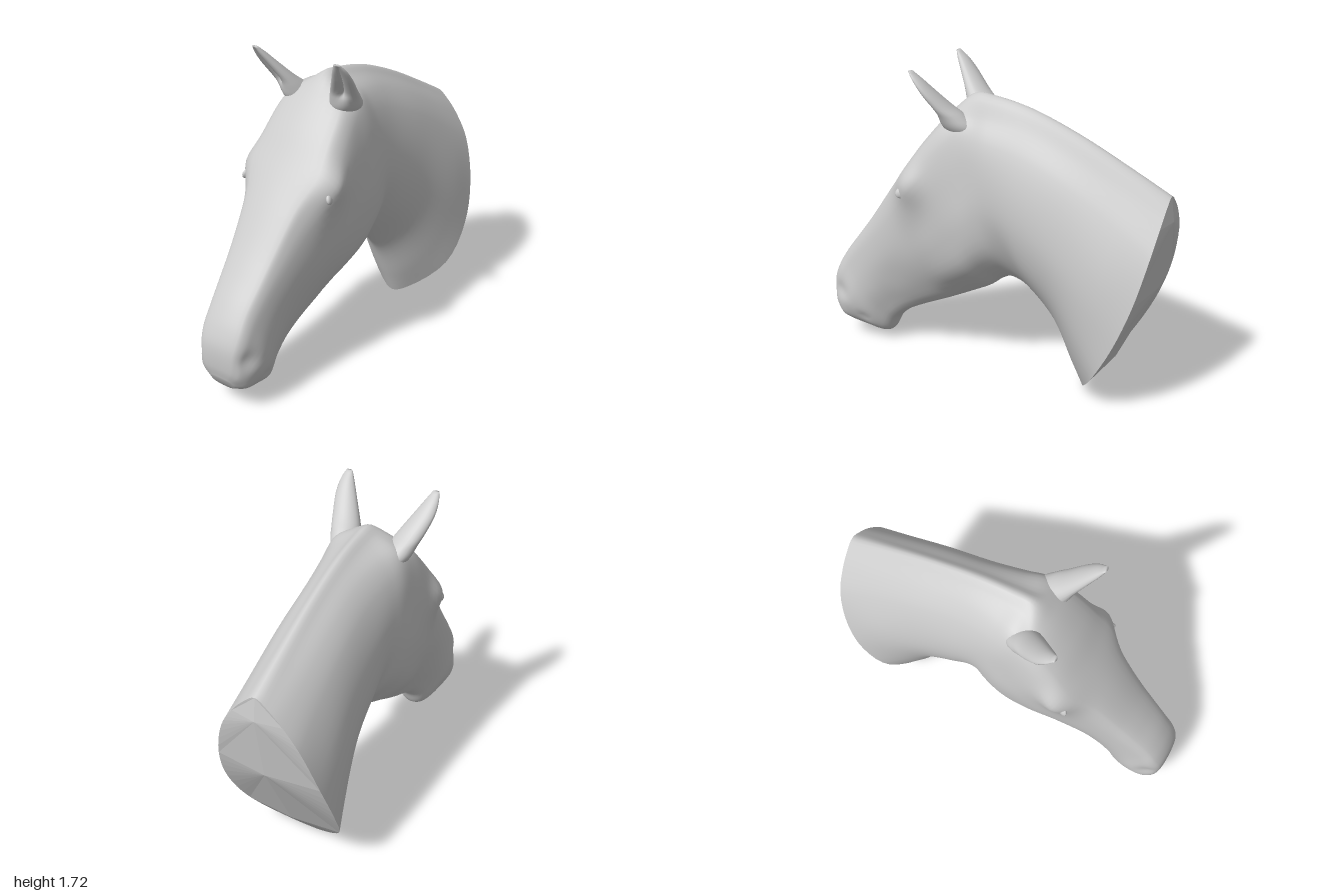
import * as THREE from 'three';

const material = new THREE.MeshStandardMaterial({ color: 0xcccccc, side: THREE.DoubleSide });
const flatMaterial = new THREE.MeshStandardMaterial({ color: 0xcccccc, side: THREE.DoubleSide, flatShading: true });

// Each row: top z, top y, bottom z, bottom y, backward bow, then half widths at the LEVELS.
const LEVELS = [0.04, 0.1, 0.2, 0.4, 0.6, 0.8, 0.96];
const NECK = [
  [-0.995, 1.17, -0.56, -0.005, 0.11, 0.075, 0.145, 0.225, 0.3, 0.325, 0.28, 0.1],
  [-0.8, 1.27, -0.5, 0.13, 0.075, 0.065, 0.135, 0.21, 0.29, 0.305, 0.25, 0.1],
  [-0.5, 1.415, -0.4, 0.34, 0.03, 0.055, 0.125, 0.195, 0.26, 0.272, 0.21, 0.08],
  [-0.22, 1.52, -0.28, 0.475, 0, 0.055, 0.125, 0.19, 0.25, 0.255, 0.195, 0.07],
  [-0.02, 1.56, -0.2, 0.535, 0, 0.06, 0.15, 0.21, 0.253, 0.25, 0.18, 0.07],
  [0.1, 1.565, -0.13, 0.56, 0, 0.075, 0.185, 0.232, 0.262, 0.268, 0.222, 0.09],
];
const HEAD = [
  [0.2, 1.485, -0.07, 0.535, 0, 0.165, 0.22, 0.25, 0.272, 0.28, 0.237, 0.09],
  [0.33, 1.34, 0, 0.48, 0, 0.195, 0.245, 0.272, 0.28, 0.275, 0.235, 0.09],
  [0.44, 1.19, 0.12, 0.415, 0, 0.195, 0.25, 0.278, 0.265, 0.255, 0.21, 0.08],
  [0.58, 1.0, 0.27, 0.34, 0, 0.155, 0.19, 0.215, 0.225, 0.21, 0.16, 0.08],
  [0.72, 0.8, 0.43, 0.265, 0, 0.13, 0.16, 0.18, 0.19, 0.17, 0.13, 0.07],
  [0.81, 0.68, 0.54, 0.205, 0, 0.12, 0.148, 0.165, 0.175, 0.16, 0.12, 0.07],
  [0.91, 0.55, 0.61, 0.14, 0, 0.11, 0.138, 0.155, 0.17, 0.16, 0.12, 0.07],
  [0.97, 0.45, 0.67, 0.04, 0, 0.11, 0.138, 0.155, 0.175, 0.16, 0.12, 0.06],
  [1.0, 0.36, 0.77, 0.05, 0, 0.1, 0.125, 0.145, 0.165, 0.155, 0.12, 0.06],
  [1.0, 0.24, 0.88, 0.075, 0, 0.08, 0.102, 0.12, 0.13, 0.13, 0.1, 0.05],
  [0.985, 0.17, 0.945, 0.105, 0, 0.04, 0.052, 0.06, 0.07, 0.07, 0.06, 0.03],
];

// Closed smooth ring for one row, starting at the top and passing the +x side first.
function sectionRing([tz, ty, bz, by, bow, ...widths], count) {
  const dz = bz - tz, dy = by - ty, len = Math.hypot(dz, dy);
  const at = (x, t) => {
    const push = (4 * t * (1 - t) * bow) / len;
    return new THREE.Vector3(x, ty + dy * t - dz * push, tz + dz * t + dy * push);
  };
  const side = LEVELS.map((t, i) => at(widths[i], t));
  const other = LEVELS.map((t, i) => at(-widths[i], t)).reverse();
  const curve = new THREE.CatmullRomCurve3([at(0, 0), ...side, at(0, 1), ...other], true);
  return Array.from({ length: count }, (_, j) => curve.getPoint(j / count));
}

// Smooth skin through rings; the far end is closed, and a rule may move each point.
function loft(rings, sub, rule = (p) => p) {
  const m = rings[0].length, rows = (rings.length - 1) * sub;
  const columns = rings[0].map((_, j) => new THREE.CatmullRomCurve3(rings.map((r) => r[j])));
  const points = [], index = [];
  for (let i = 0; i <= rows; i++) for (const c of columns) points.push(rule(c.getPoint(i / rows)));
  for (let i = 0; i < rows; i++) {
    for (let j = 0; j < m; j++) {
      const a = i * m + j, b = i * m + ((j + 1) % m);
      index.push(a, a + m, b, b, a + m, b + m);
    }
  }
  const last = points.slice(-m), tip = points.length;
  points.push(last.reduce((s, p) => s.add(p), new THREE.Vector3()).divideScalar(m));
  for (let j = 0; j < m; j++) index.push(rows * m + j, tip, rows * m + ((j + 1) % m));
  const geometry = new THREE.BufferGeometry().setFromPoints(points);
  geometry.setIndex(index);
  geometry.computeVertexNormals();
  return geometry;
}

// Soft reliefs: y, z, radius, depth (nostril, mouth corner, raised brow).
const RELIEFS = [[0.3, 0.93, 0.05, 0.1], [0.15, 0.78, 0.03, 0.08], [1.1, 0.4, 0.1, -0.13]];
function carve(p) {
  for (const [y, z, r, depth] of RELIEFS) {
    p.x *= 1 - depth * Math.exp(-((p.y - y) ** 2 + (p.z - z) ** 2) / (r * r));
  }
  return p;
}

// Faceted face of the cut neck: four broad bands, each fanned from a raised centre line to the rim.
function neckCap(ring) {
  const far = ring.length, half = far / 2, band = half / 4, pts = [];
  const spine = (j) => new THREE.Vector3(0, ring[j].y, ring[j].z - 0.035 * Math.sin((Math.PI * j) / half));
  for (let from = 0; from < half; from += band) {
    const to = from + band, c0 = spine(from), c1 = spine(to);
    for (let j = from; j < to; j++) {
      pts.push(c0, ring[j], ring[j + 1], c0, ring[far - j - 1], ring[(far - j) % far]);
    }
    pts.push(c0, ring[to], c1, c0, c1, ring[far - to]);
  }
  const geometry = new THREE.BufferGeometry().setFromPoints(pts);
  geometry.computeVertexNormals();
  return geometry;
}

// Ear rows: centre x, y, z, radius in x, radius in z, hollow of the front.
const EAR = [
  [0.12, 1.34, 0.08, 0.05, 0.06, 0],
  [0.15, 1.42, 0.12, 0.078, 0.095, 0],
  [0.175, 1.48, 0.165, 0.076, 0.085, 0.3],
  [0.2, 1.53, 0.208, 0.072, 0.066, 1],
  [0.235, 1.61, 0.27, 0.058, 0.046, 1.1],
  [0.252, 1.67, 0.315, 0.038, 0.03, 0.9],
  [0.257, 1.71, 0.345, 0.018, 0.01, 0],
];
function earGeometry(s) {
  const rings = EAR.map(([x, y, z, rx, rz, hollow]) => Array.from({ length: 24 }, (_, j) => {
    const a = (s * j * Math.PI * 2) / 24;
    const k = 1 - hollow * Math.max(0, Math.cos(a - 1.2)) ** 3;
    return new THREE.Vector3(s * (x + rx * k * Math.cos(a)), y, z + rz * k * Math.sin(a));
  }));
  return loft(rings, 5);
}

export function createModel() {
  const group = new THREE.Group();
  const add = (name, geometry, mat = material) => {
    const mesh = new THREE.Mesh(geometry, mat);
    mesh.name = name;
    group.add(mesh);
    return mesh;
  };

  const rings = [...NECK, ...HEAD].map((row) => sectionRing(row, 64));
  add('headAndNeck', loft(rings, 6, carve));
  add('neckCutFace', neckCap(rings[0]), flatMaterial);

  for (const [s, side] of [[1, 'left'], [-1, 'right']]) {
    add(side + 'Ear', earGeometry(s));
    // Eyes lie almost flush under the brow.
    const eye = add(side + 'Eye', new THREE.SphereGeometry(0.045, 20, 14));
    eye.scale.set(0.4, 0.7, 1);
    eye.position.set(s * 0.262, 1.04, 0.41);
    eye.rotation.set(0.5, s * 0.5, 0);
  }
  return group;
}
